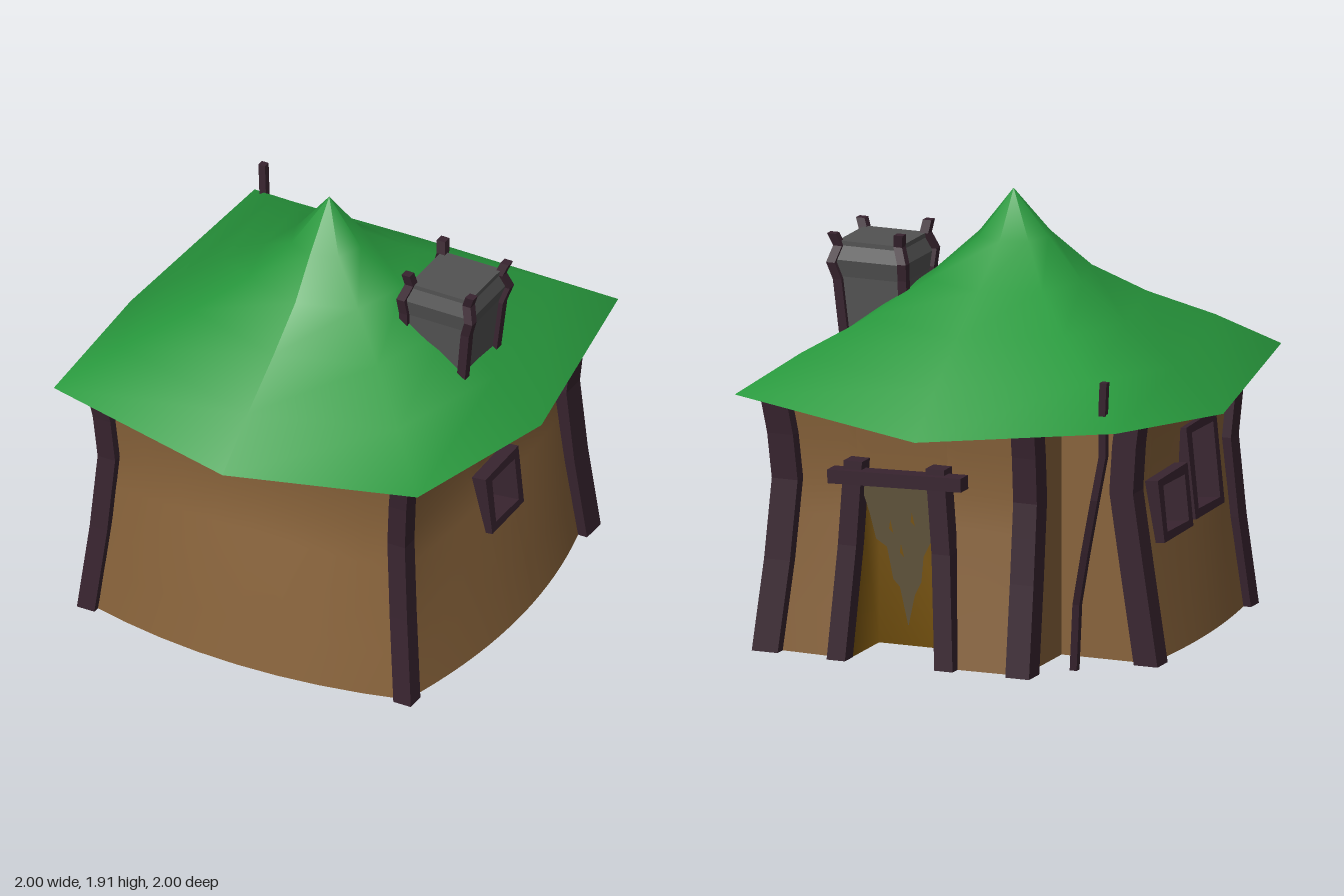
import * as THREE from 'three';

const mat = (name, color, double) => {
  const m = new THREE.MeshStandardMaterial({ color });
  m.name = name;
  if (double) m.side = THREE.DoubleSide;
  return m;
};

// piecewise linear lookup in [[y, value], ...]
const lerpTable = (table, y) => {
  for (let i = 1; i < table.length; i++) {
    const [y0, a] = table[i - 1], [y1, b] = table[i];
    if (y <= y1) return a + (b - a) * (y - y0) / (y1 - y0);
  }
  return table[table.length - 1][1];
};

// surface from equal-length rows of points
function grid(rows) {
  const n = rows[0].length, index = [];
  for (let i = 0; i < rows.length - 1; i++)
    for (let j = 0; j < n - 1; j++) {
      const a = i * n + j, b = a + n;
      index.push(a, a + 1, b + 1, a, b + 1, b);
    }
  const g = new THREE.BufferGeometry();
  g.setAttribute('position', new THREE.Float32BufferAttribute(rows.flat(2), 3));
  g.setIndex(index);
  g.computeVertexNormals();
  return g;
}

// crooked beam: rectangular sections stacked along a rising path
function beam(path, w, d = w) {
  const pos = [], index = [];
  path.forEach(([x, y, z]) => [[1, 1], [1, -1], [-1, -1], [-1, 1]].forEach(([a, b]) =>
    pos.push(x + a * w / 2, y, z + b * d / 2)));
  const n = path.length;
  for (let i = 0; i < n - 1; i++)
    for (let j = 0; j < 4; j++) {
      const a = i * 4 + j, b = i * 4 + (j + 1) % 4;
      index.push(a, b, b + 4, a, b + 4, a + 4);
    }
  const t = (n - 1) * 4;
  index.push(0, 2, 1, 0, 3, 2, t, t + 1, t + 2, t, t + 2, t + 3);
  const g = new THREE.BufferGeometry();
  g.setAttribute('position', new THREE.Float32BufferAttribute(pos, 3));
  g.setIndex(index);
  const flat = g.toNonIndexed();
  flat.computeVertexNormals();
  return flat;
}

// wall profile: half width at the corners, and how far each side bows out
const LEVELS = [0, 0.2, 0.4, 0.6, 0.75, 0.95, 1.17];
const half = y => lerpTable([[0, 0.77], [0.4, 0.73], [0.75, 0.705], [0.95, 0.72], [1.2, 0.755]], y);
const bow = y => lerpTable([[0, 1], [0.4, 0.62], [0.75, 0.1], [1.2, 0]], y);
const BULGE = { front: 0.11, right: 0.11, back: 0.03, left: 0.07 };
function wallPoint(side, t, y, out = 0) {
  const c = half(y);
  t = Math.max(-c, Math.min(c, t));
  const o = c + BULGE[side] * bow(y) * (1 - (t / c) ** 2) + out;
  return { front: [t, y, o], back: [t, y, -o], right: [o, y, t], left: [-o, y, t] }[side];
}

export function createModel() {
  const model = new THREE.Group();
  const wallMat = mat('clay wall', 0x87623a, true);
  const roofMat = mat('green roof', 0x28993d, true);
  const woodMat = mat('dark wood', 0x38242f);
  const stoneMat = mat('grey stone', 0x525252, true);
  const goldMat = mat('amber interior', 0x77530f, true);
  const clothMat = mat('ragged cloth', 0x5c5038, true);
  const add = (name, geo, material, parent = model) => {
    const m = new THREE.Mesh(geo, material);
    m.name = name;
    parent.add(m);
    return m;
  };

  // walls, cut into panels around openings [t0, t1, y0, y1]
  const panel = (side, t0, t1, y0, y1) => {
    const ys = [y0, ...LEVELS.filter(y => y > y0 + 0.01 && y < y1 - 0.01), y1];
    const rows = ys.map(y => Array.from({ length: 9 }, (_, i) => {
      const a = Math.max(t0, -half(y)), b = Math.min(t1, half(y));
      return wallPoint(side, a + (b - a) * i / 8, y);
    }));
    add(side + 'Wall', grid(rows), wallMat);
  };
  const wall = (side, t0, t1, holes = []) => {
    let t = t0;
    for (const [a, b, y0, y1] of holes) {
      panel(side, t, a, 0, 1.17);
      if (y0 > 0) panel(side, a, b, 0, y0);
      panel(side, a, b, y1, 1.17);
      t = b;
    }
    panel(side, t, t1, 0, 1.17);
  };
  const NX = -0.41, NZ = -0.37; // inner corner of the notch
  const door = [-0.03, 0.39, 0, 0.76];
  const rightWindow = [-0.15, 0.06, 0.5, 0.71];
  const leftWindows = [[-0.13, 0.11, 0.51, 0.72], [0.23, 0.47, 0.53, 0.87]];
  wall('front', -1, 1);
  wall('right', -1, 1, [rightWindow]);
  wall('back', NX, 1, [door]);
  wall('left', NZ, 1, leftWindows);
  add('notchSideWall', grid(LEVELS.map(y => [wallPoint('back', NX, y), [NX, y, NZ]])), wallMat);
  add('notchBackWall', grid(LEVELS.map(y => [[NX, y, NZ], wallPoint('left', NZ, y)])), wallMat);

  // ceiling following the notched plan
  const plan = new THREE.Shape([[-0.72, -0.72], [0.72, -0.72], [0.72, 0.72], [NX, 0.72], [NX, -NZ], [-0.72, -NZ]]
    .map(p => new THREE.Vector2(...p)));
  add('ceiling', new THREE.ShapeGeometry(plan).rotateX(-Math.PI / 2).translate(0, 1.13, 0), stoneMat);

  // corner posts following the wall curve
  [[1, 1, 0.085], [-1, 1, 0.085], [1, -1, 0.12]].forEach(([sx, sz, w]) =>
    add('cornerPost', beam(LEVELS.map(y => [sx * half(y), y, sz * half(y)]), w), woodMat));
  add('notchPost', beam(LEVELS.map(y => wallPoint('back', NX, y)), 0.11), woodMat);
  add('notchPost', beam(LEVELS.map(y => wallPoint('left', NZ, y)), 0.11), woodMat);

  // crooked pole through the roof
  add('crookedPole', beam([[-0.57, 0, -0.6], [-0.6, 0.3, -0.64], [-0.67, 0.55, -0.71], [-0.74, 0.8, -0.77],
    [-0.785, 1.0, -0.785], [-0.79, 1.2, -0.8], [-0.8, 1.33, -0.81]], 0.032), woodMat);

  // roof: rings that go from round near the peak to a bowed square at the eaves
  const rings = [[0.001, 1.91, 0.71, 0, 0.06], [0.16, 1.71, 0.72, 0, 0.07], [0.34, 1.54, 0.78, 0.01, 0.02],
    [0.55, 1.385, 0.82, 0.03, 0], [0.78, 1.215, 0.86, 0.07, 0], [1, 1.03, 0.885, 0.1, 0]];
  const dirs = [[0, 1], [1, 1], [1, 0], [1, -1], [0, -1], [-1, -1], [-1, 0], [-1, 1], [0, 1]];
  add('roof', grid(rings.map(([r, y, k, lift, shift]) => dirs.map(([dx, dz]) => {
    const corner = dx !== 0 && dz !== 0, s = corner ? r * k : r;
    return [dx * s, y + (corner ? lift : 0), dz * s + shift];
  })).reverse()), roofMat);

  // chimney with a tapered cap: [y, centre x, half size]
  const stack = [[1.12, 0.545, 0.135], [1.5, 0.57, 0.15], [1.575, 0.58, 0.165], [1.645, 0.583, 0.14]];
  const square = [[1, 1], [1, -1], [-1, -1], [-1, 1]];
  const chimney = new THREE.Group();
  chimney.name = 'chimney';
  model.add(chimney);
  square.forEach(([a, b], i) => {
    const [c, d] = square[(i + 1) % 4];
    for (let k = 0; k < 3; k++)
      add('chimneySide', grid([stack[k], stack[k + 1]].map(([y, x, h]) =>
        [[x + a * h, y, b * h], [x + c * h, y, d * h]])), stoneMat, chimney);
    const path = [...stack, [1.7, 0.59, 0.155]].map(([y, x, h]) => [x + a * h, y - a * 0.01, b * h]);
    add('chimneyPost', beam(path, 0.04), woodMat, chimney);
  });
  add('chimneyTop', new THREE.BoxGeometry(0.29, 0.02, 0.29).translate(0.583, 1.645, 0), stoneMat, chimney);

  // windows: deep skewed frame with an amber pane at the back
  const quad = (w, h, m) => [[-w - m, -h - m], [w + m, -h - m * 0.8], [w + m, h + m * 1.1], [-w - m * 1.3, h + m * 0.8]]
    .map(p => new THREE.Vector2(...p));
  const windowOn = (side, [t0, t1, y0, y1]) => {
    const w = (t1 - t0) / 2, h = (y1 - y0) / 2, g = new THREE.Group();
    g.name = side + 'Window';
    const shape = new THREE.Shape(quad(w, h, 0.035));
    shape.holes.push(new THREE.Path(quad(w, h, -0.005)));
    add('windowFrame', new THREE.ExtrudeGeometry(shape, { depth: 0.15, bevelEnabled: false }).translate(0, 0, -0.1), woodMat, g);
    add('windowPane', new THREE.BoxGeometry(2 * w + 0.03, 2 * h + 0.03, 0.008).translate(0, 0, -0.09), goldMat, g);
    g.position.set(...wallPoint(side, (t0 + t1) / 2, (y0 + y1) / 2));
    g.rotation.set(-0.1, side === 'right' ? Math.PI / 2 : -Math.PI / 2, 0, 'YXZ');
    model.add(g);
  };
  windowOn('right', rightWindow);
  leftWindows.forEach(w => windowOn('left', w));

  // doorway: open-bottomed recess
  const [dx0, dx1, , dy] = door, zi = -0.48;
  add('doorRecess', grid([0, dy].map(y =>
    [[dx0, y, -half(y)], [dx0, y, zi], [dx1, y, zi], [dx1, y, -half(y)]])), goldMat);
  add('doorRecessTop', grid([-half(dy), zi].map(z => [[dx0, dy, z], [dx1, dy, z]])), goldMat);
  add('doorPost', beam([[0.43, 0, -0.81], [0.395, 0.5, -0.77], [0.37, 0.87, -0.765]], 0.085), woodMat);
  add('doorPost', beam([[-0.07, 0, -0.81], [-0.04, 0.5, -0.77], [-0.01, 0.87, -0.765]], 0.085), woodMat);
  const lintel = add('doorLintel', new THREE.BoxGeometry(0.62, 0.06, 0.08), woodMat);
  lintel.position.set(0.165, 0.81, -0.8);
  lintel.rotation.z = -0.03;

  // torn curtain
  const v = p => new THREE.Vector2(...p);
  const cloth = new THREE.Shape([[0.36, 0.78], [0, 0.78], [0.02, 0.55], [0.06, 0.47], [0.07, 0.36], [0.1, 0.3],
    [0.13, 0.16], [0.17, 0.33], [0.2, 0.36], [0.23, 0.5], [0.28, 0.53], [0.31, 0.64]].map(v));
  [[0.1, 0.6], [0.2, 0.56], [0.15, 0.46]].forEach(([x, y]) => cloth.holes.push(
    new THREE.Path([[x, y], [x + 0.02, y + 0.02], [x + 0.015, y + 0.06]].map(v))));
  add('curtain', new THREE.ShapeGeometry(cloth).translate(0, 0, -0.765), clothMat);

  return model;
}
